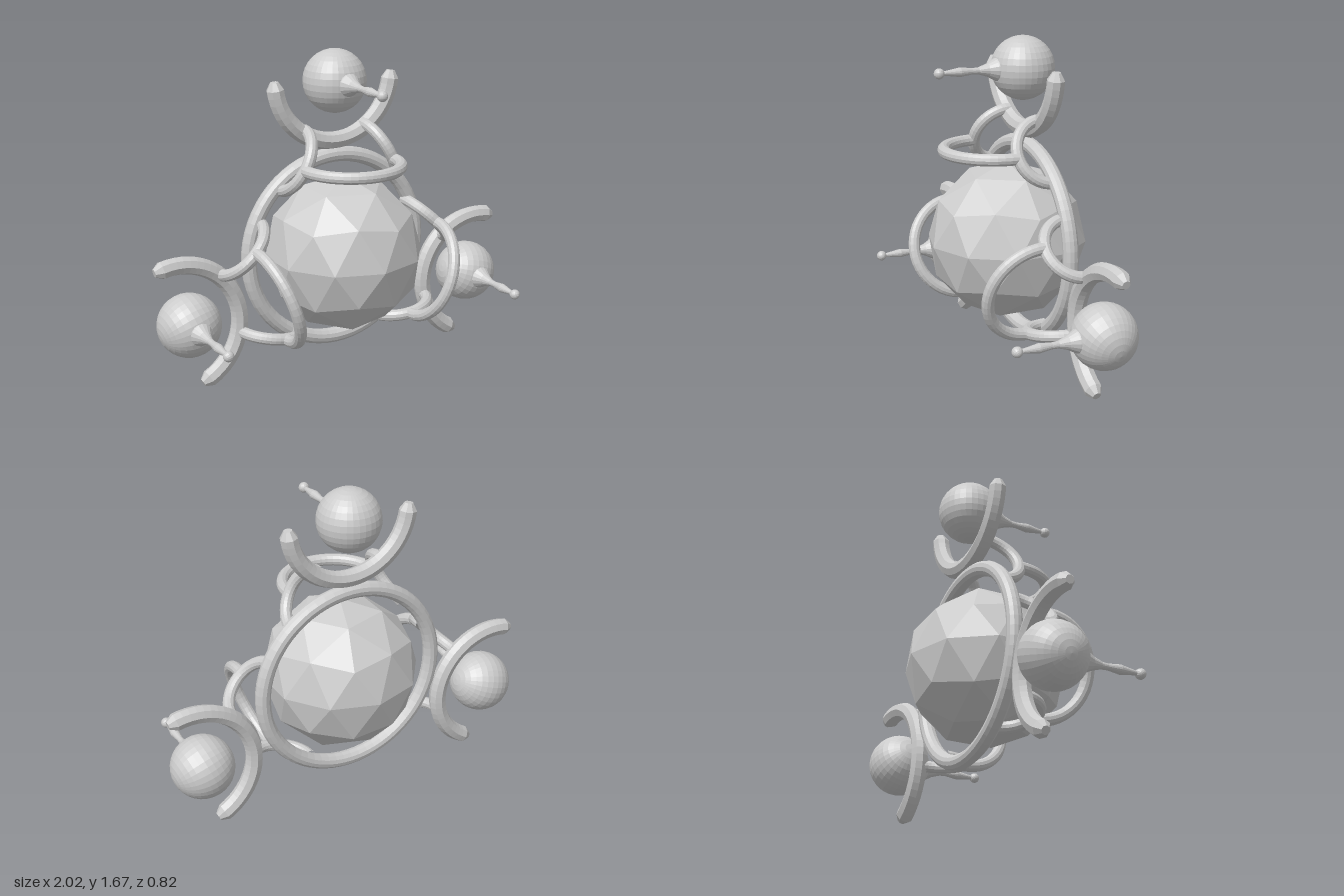
import * as THREE from 'three';

const CENTER_Y = 0.625;
const RING_Z = -0.1;
const material = new THREE.MeshStandardMaterial({ color: 0xcccccc, flatShading: true });

function add(parent, name, geometry, x = 0, y = 0, z = 0) {
  const mesh = new THREE.Mesh(geometry, material);
  mesh.name = name;
  mesh.position.set(x, y, z);
  parent.add(mesh);
  return mesh;
}

// Half hoop whose diameter lies along x and whose bow points to +z
function halfHoop(radius, tube) {
  return new THREE.TorusGeometry(radius, tube, 12, 24, Math.PI).rotateX(Math.PI / 2);
}

// Open crescent with blunt, tapered tips, opening to +y
function makeCrescent() {
  const crescent = new THREE.Group();
  crescent.name = 'crescent';
  const R = 0.335, tube = 0.046, gap = 0.13;
  const arc = new THREE.TorusGeometry(R, tube, 8, 28, Math.PI - 2 * gap);
  add(crescent, 'crescentArc', arc.rotateZ(Math.PI + gap));
  for (const s of [-1, 1]) {
    const tip = new THREE.CylinderGeometry(0.022, tube, 0.04, 8);
    tip.translate(0, 0.02, 0).rotateZ(-s * gap);
    add(crescent, 'crescentTip', tip, s * R * Math.cos(gap), -R * Math.sin(gap), 0);
  }
  return crescent;
}

// One arm: orb with spike, crescent and the three linking hoops
function makeArm(crescentY, crescentTilt) {
  const arm = new THREE.Group();
  arm.name = 'arm';

  add(arm, 'orb', new THREE.SphereGeometry(0.163, 32, 16), 0, 0.88, -0.092);

  // Turned spike pointing forward, ending in a bead
  const profile = [[0.066, 0.04], [0.056, 0.065], [0.034, 0.105], [0.018, 0.155],
    [0.016, 0.19], [0.024, 0.255], [0.017, 0.3], [0.01, 0.35]]
    .map(([r, h]) => new THREE.Vector2(r, h));
  add(arm, 'spike', new THREE.LatheGeometry(profile, 16).rotateX(Math.PI / 2), 0, 0.88, 0);
  add(arm, 'spikeBead', new THREE.SphereGeometry(0.027, 16, 10), 0, 0.88, 0.367);

  const crescent = makeCrescent();
  crescent.position.set(0, crescentY, RING_Z);
  crescent.rotation.z = crescentTilt;
  arm.add(crescent);

  // Side hoops join the ring to the crescent
  for (const s of [-1, 1]) {
    const hoop = add(arm, 'sideHoop', halfHoop(0.163, 0.031), s * 0.245, 0.495, RING_Z);
    hoop.rotation.z = -s * 1.1;
  }
  // Front hoop bridges the two side hoops
  add(arm, 'frontHoop', halfHoop(0.255, 0.031), 0, 0.475, 0.07);
  return arm;
}

export function createModel() {
  const model = new THREE.Group();
  model.name = 'ornament';

  // Faceted core, turned so that a corner points straight up
  const tilt = Math.atan(2 / (1 + Math.sqrt(5)));
  const core = new THREE.IcosahedronGeometry(0.41, 1).rotateZ(-tilt);
  add(model, 'core', core, 0, CENTER_Y, 0);

  add(model, 'ring', new THREE.TorusGeometry(0.496, 0.04, 12, 64), 0, CENTER_Y, RING_Z);

  // Top arm and the two lower side arms
  for (const s of [0, -1, 1]) {
    const arm = makeArm(s ? 0.937 : 0.905, s * 0.045);
    arm.position.y = CENTER_Y;
    arm.rotation.z = s * THREE.MathUtils.degToRad(108.2);
    model.add(arm);
  }
  return model;
}
